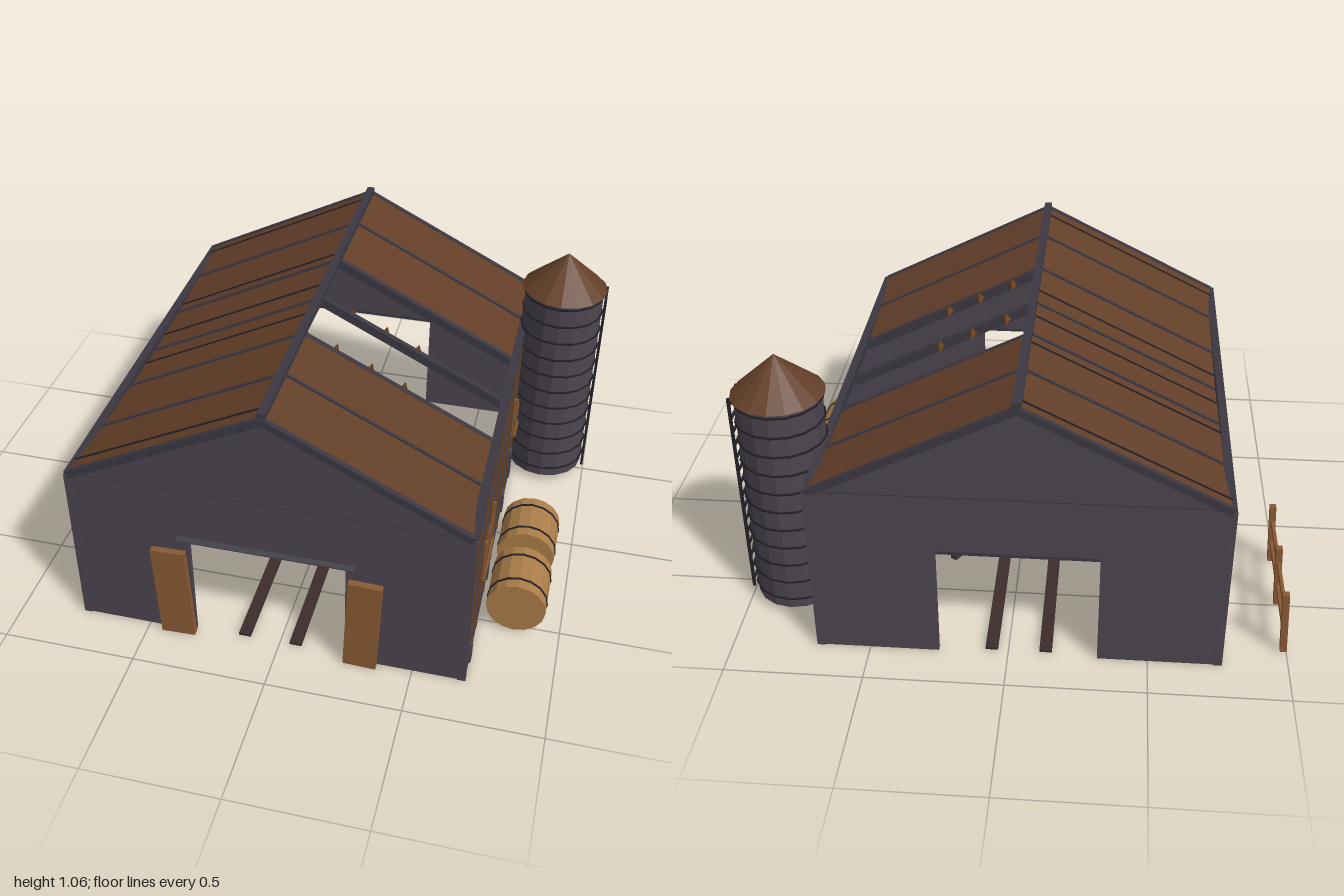
import * as THREE from 'three';

const mat = (name, color, side = THREE.FrontSide) => {
  const m = new THREE.MeshStandardMaterial({ color, side });
  m.name = name;
  return m;
};

export function createModel() {
  const M = {
    wall: mat('weathered grey boards', 0x4c4550),
    trim: mat('dark grey trim', 0x3b3842),
    iron: mat('black iron', 0x232126),
    roof: mat('rusty roof', 0x643f29),
    batten: mat('brown batten', 0x70451f),
    door: mat('door wood', 0x8a5a34),
    barrel: mat('barrel wood', 0xab7d48),
    rail: mat('floor plank', 0x3d2c2b),
  };
  const root = new THREE.Group();
  const add = (parent, name, geo, material, x = 0, y = 0, z = 0) => {
    const m = new THREE.Mesh(geo, material);
    m.name = name;
    m.position.set(x, y, z);
    parent.add(m);
    return m;
  };
  const box = (parent, name, material, w, h, d, x, y, z) =>
    add(parent, name, new THREE.BoxGeometry(w, h, d), material, x, y, z);
  const group = (name) => {
    const g = new THREE.Group();
    g.name = name;
    root.add(g);
    return g;
  };

  const CX = -0.035, CZ = -0.015, HALF = 0.725, ZF = 0.81, ZB = -0.84, EAVE = 0.675, APEX = 1.035;

  // Gable walls with a wide doorway at both ends
  const walls = group('walls');
  const gable = new THREE.Shape();
  [[-0.76, 0], [-0.32, 0], [-0.32, 0.45], [0.25, 0.45], [0.25, 0], [0.69, 0], [0.69, EAVE],
    [CX, APEX], [-0.76, EAVE]].forEach(([x, y], i) => (i ? gable.lineTo(x, y) : gable.moveTo(x, y)));
  const gableGeo = new THREE.ExtrudeGeometry(gable, { depth: 0.02, bevelEnabled: false });
  add(walls, 'frontWall', gableGeo, M.wall, 0, 0, ZF - 0.02);
  add(walls, 'backWall', gableGeo, M.wall, 0, 0, ZB);
  for (const z of [ZF, ZB]) {
    box(walls, 'gableSeam', M.trim, 1.45, 0.004, 0.006, CX, 0.68, z);
    box(walls, 'doorLintel', M.trim, 0.57, 0.012, 0.024, CX, 0.446, z - Math.sign(z) * 0.01);
  }

  // Side walls with battens, patches and boarded windows
  for (const s of [-1, 1]) {
    const X = CX + s * HALF;
    box(walls, 'sideWall', M.wall, 0.02, 0.68, 1.65, X - s * 0.01, 0.34, CZ);
    box(walls, 'eaveBeam', M.trim, 0.03, 0.03, 1.65, X - s * 0.012, 0.667, CZ);
    box(walls, 'sill', M.trim, 0.03, 0.014, 1.65, X - s * 0.012, 0.007, CZ);
    for (const z of [ZF - 0.008, ZB + 0.008])
      box(walls, 'cornerPost', M.wall, 0.03, 0.67, 0.024, X - s * 0.01, 0.335, z);
    for (let i = 0; i < 9; i++)
      box(walls, 'batten', M.batten, 0.008, 0.65, 0.009, X + s * 0.002, 0.335, 0.73 - i * 0.186);
    for (const [z, y, h] of [[0.72, 0.065, 0.09], [0.3, 0.08, 0.09], [-0.12, 0.068, 0.09],
      [-0.33, 0.105, 0.135], [-0.75, 0.095, 0.14]])
      box(walls, 'patch', M.wall, 0.014, h, 0.04, X + s * 0.004, y, z);
    for (const z of [0.425, -0.455]) {
      const win = group('boardedWindow');
      win.position.set(X + s * 0.008, 0, z);
      box(win, 'windowSill', M.door, 0.022, 0.014, 0.235, 0, 0.247, 0);
      for (const e of [-1, 1])
        box(win, 'windowPost', M.door, 0.016, 0.185, 0.012, 0, 0.335, e * 0.11);
      const board = box(win, 'crossBoard', M.batten, 0.014, 0.042, 0.21, 0, 0.327, 0);
      board.rotation.x = 0.24;
    }
  }

  // Roof: every piece follows the slope and the sagging middle
  const roof = group('roof');
  const sag = (z) => 0.04 * Math.max(0, 1 - Math.abs(z - CZ) / 0.825);
  const slope = (name, material, s, z0, z1, low, high) => {
    const geo = new THREE.BoxGeometry(1, 1, 1);
    const p = geo.attributes.position;
    for (let i = 0; i < p.count; i++) {
      const t = p.getX(i) + 0.5;
      const u = s > 0 ? t : 1 - t;
      const z = p.getZ(i) > 0 ? z1 : z0;
      const y = APEX - u * (APEX - EAVE) - sag(z) + (p.getY(i) > 0 ? high : low);
      p.setXYZ(i, CX + s * u * (HALF - 0.008), y, z);
    }
    const flat = geo.toNonIndexed();
    flat.computeVertexNormals();
    return add(roof, name, flat, material);
  };
  const seams = [ZB, -0.57, -0.29, -0.02, 0.25, 0.53, ZF];
  for (const s of [-1, 1]) {
    for (let i = 0; i < 6; i++)
      if (s < 0 || i < 2 || i > 3) slope('roofPanel', M.roof, s, seams[i], seams[i + 1], -0.004, 0.006);
    for (const z of seams.slice(1, 6)) {
      const open = s > 0 && Math.abs(z) < 0.3;
      const w = open ? 0.011 : 0.006;
      slope('rafter', M.trim, s, z - w, z + w, -0.03, open ? 0.008 : 0.013);
    }
    slope('frontRake', M.trim, s, ZF - 0.015, ZF + 0.006, -0.02, 0.01);
    slope('backRake', M.trim, s, ZB - 0.004, ZB + 0.015, -0.02, 0.01);
  }
  for (const z of [-0.78, -0.35, -0.13, 0.08, 0.735])
    slope('roofSeam', M.iron, -1, z - 0.004, z + 0.004, 0, 0.01);
  box(roof, 'ridgeBeam', M.trim, 0.03, 0.022, 1.65, CX, 1.048, CZ);

  // Splintered scraps left along the open rafters
  for (const z of [-0.025, 0.245])
    for (const x of [0.07, 0.2, 0.325]) {
      const scrap = add(roof, 'splinter', new THREE.ConeGeometry(0.02, 0.06, 4), M.batten,
        x, APEX - ((x - CX) / HALF) * 0.36 - sag(z) - 0.01, z - 0.03);
      scrap.rotation.x = -Math.PI / 2;
    }

  // Sliding doors off their rail
  const doors = group('doors');
  const left = box(doors, 'rightDoor', M.door, 0.128, 0.4, 0.025, -0.388, 0.202, 0.826);
  left.rotation.z = 0.04;
  const right = box(doors, 'leftDoor', M.door, 0.122, 0.4, 0.025, 0.317, 0.202, 0.826);
  right.rotation.z = -0.04;
  const track = box(doors, 'doorRail', M.trim, 0.645, 0.018, 0.018, CX, 0.468, 0.824);
  track.rotation.x = Math.PI / 4;

  // Floor planks and fallen beams
  const floor = group('floorDebris');
  for (const x of [0.06, -0.135]) box(floor, 'floorPlank', M.rail, 0.045, 0.012, 1.62, x, 0.008, CZ);
  for (const [x0, z0, x1, z1] of [[-0.23, -0.01, 0.17, -0.14], [0.05, -0.03, 0.26, -0.34],
    [0.25, -0.03, 0.59, 0.32], [0.26, 0.06, 0.51, 0.37], [0.28, 0.19, 0.6, 0.45], [-0.69, -0.35, -0.48, -0.28]]) {
    const beam = box(floor, 'fallenBeam', M.trim, Math.hypot(x1 - x0, z1 - z0), 0.022, 0.026,
      (x0 + x1) / 2, 0.03, (z0 + z1) / 2);
    beam.rotation.y = -Math.atan2(z1 - z0, x1 - x0);
  }

  // Silo with hoops, conical cap and ladder
  const silo = group('silo');
  silo.position.set(0.828, 0, -0.53);
  const body = new THREE.CylinderGeometry(0.155, 0.155, 0.85, 16).toNonIndexed();
  body.computeVertexNormals();
  add(silo, 'siloBody', body, M.wall, 0, 0.455, 0);
  const cap = new THREE.ConeGeometry(0.168, 0.15, 16).toNonIndexed();
  cap.computeVertexNormals();
  add(silo, 'siloCap', cap, M.roof, 0, 0.953, 0);
  for (let i = 0; i < 11; i++) {
    const hoop = add(silo, 'siloHoop', new THREE.TorusGeometry(0.157, 0.005, 4, 16), M.iron, 0, 0.07 + i * 0.079, 0);
    hoop.rotation.x = Math.PI / 2;
  }
  for (const z of [-0.05, 0.05]) box(silo, 'ladderRail', M.iron, 0.01, 0.83, 0.01, 0.165, 0.455, z);
  for (let i = 0; i < 15; i++) box(silo, 'ladderRung', M.iron, 0.008, 0.008, 0.1, 0.165, 0.07 + i * 0.055, 0);

  // Barrels lying on their sides
  for (const z of [0.42, 0.13]) {
    const barrel = group('barrel');
    barrel.position.set(0.83, 0.118, z);
    barrel.rotation.x = Math.PI / 2;
    const staves = new THREE.CylinderGeometry(0.11, 0.11, 0.218, 16).toNonIndexed();
    staves.computeVertexNormals();
    add(barrel, 'barrelBody', staves, M.barrel);
    for (const y of [-0.065, 0.065])
      add(barrel, 'barrelHoop', new THREE.CylinderGeometry(0.113, 0.113, 0.008, 16), M.iron, 0, y, 0);
  }

  // Leaning fence
  const fence = group('fence');
  fence.position.set(-0.99, 0, -0.483);
  fence.rotation.z = -0.06;
  for (const z of [-0.262, 0, 0.262]) box(fence, 'fencePost', M.door, 0.024, 0.26, 0.026, 0, 0.132, z);
  for (const y of [0.09, 0.19]) box(fence, 'fenceRail', M.door, 0.012, 0.024, 0.53, 0, y, 0);

  return root;
}
